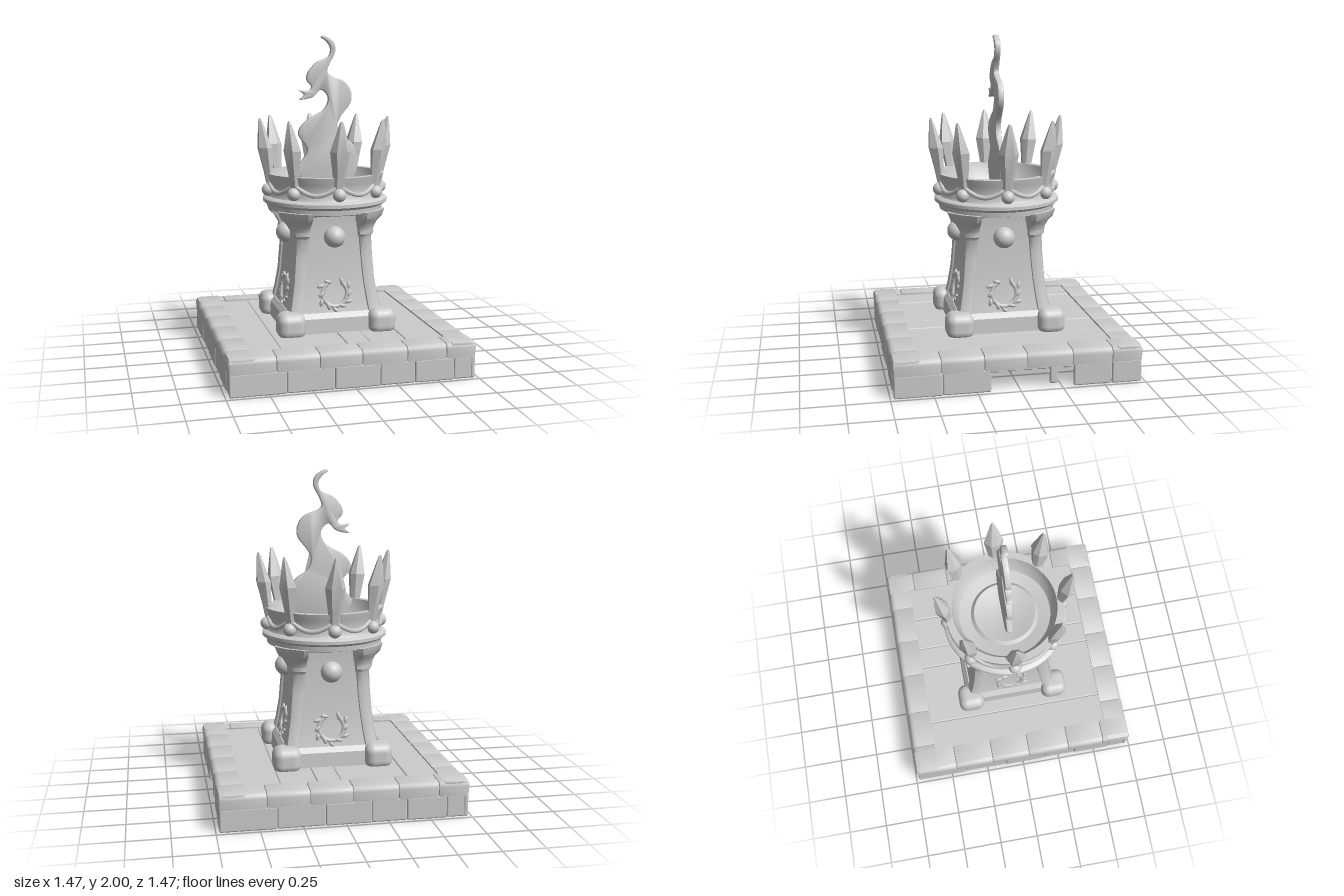
import * as THREE from 'three';
import { toCreasedNormals } from 'three/addons/utils/BufferGeometryUtils.js';
import { RoundedBoxGeometry } from 'three/addons/geometries/RoundedBoxGeometry.js';

const stone = new THREE.MeshStandardMaterial({ color: 0xcccccc });
stone.name = 'stone';

function add(parent, name, geometry, x = 0, y = 0, z = 0) {
  const mesh = new THREE.Mesh(geometry, stone);
  mesh.name = name;
  mesh.position.set(x, y, z);
  parent.add(mesh);
  return mesh;
}

// Closed solid through sections [y, [[x, z], ...]], points turning from +z towards +x
function loft(sections, crease = 0.5) {
  const pos = [];
  const n = sections[0][1].length;
  const at = (s, i) => [s[1][i % n][0], s[0], s[1][i % n][1]];
  const mid = (s) => [
    s[1].reduce((t, p) => t + p[0], 0) / n, s[0], s[1].reduce((t, p) => t + p[1], 0) / n];
  for (let j = 0; j < sections.length - 1; j++) {
    for (let i = 0; i < n; i++) {
      const a = at(sections[j], i), b = at(sections[j], i + 1);
      const c = at(sections[j + 1], i + 1), d = at(sections[j + 1], i);
      pos.push(...a, ...b, ...c, ...a, ...c, ...d);
    }
  }
  const low = sections[0], top = sections[sections.length - 1];
  for (let i = 0; i < n; i++) {
    pos.push(...mid(low), ...at(low, i + 1), ...at(low, i));
    pos.push(...mid(top), ...at(top, i), ...at(top, i + 1));
  }
  const g = new THREE.BufferGeometry();
  g.setAttribute('position', new THREE.Float32BufferAttribute(pos, 3));
  return toCreasedNormals(g, crease);
}

// Square with cut corners: w is the half width, a the half width of each flat
const octagon = (w, a) => [[-a, w], [a, w], [w, a], [w, -a], [a, -w], [-a, -w], [-w, -a], [-w, a]];

// Upper brick: top slab and outer face in one angled profile, running along x
function kerbBrick(x0, x1) {
  const b = 0.008;
  const s = new THREE.Shape();
  s.moveTo(0.585, 0.198);
  s.lineTo(0.69, 0.198);
  s.lineTo(0.705, 0.18);
  s.lineTo(0.705, 0.13);
  s.lineTo(0.73, 0.13);
  s.lineTo(0.735, 0.19);
  s.quadraticCurveTo(0.732, 0.22, 0.7, 0.222);
  s.lineTo(0.585, 0.222);
  const g = new THREE.ExtrudeGeometry(s, {
    depth: x1 - x0 - 2 * b, bevelEnabled: true, bevelSize: b, bevelOffset: -b,
    bevelThickness: b, bevelSegments: 2, curveSegments: 5 });
  g.rotateY(-Math.PI / 2).translate(x1 - b, 0, 0);
  return toCreasedNormals(g, 0.6);
}

function createBase() {
  const base = new THREE.Group();
  base.name = 'base';
  const upper = [-0.73, -0.46, -0.21, 0.04, 0.31, 0.55, 0.73];
  const lower = [-0.73, -0.4, -0.12, 0.15, 0.36, 0.6, 0.73];
  const broken = [-0.73, -0.45, -0.17, 0.32, 0.55, 0.73];
  for (let k = 0; k < 4; k++) {
    const side = new THREE.Group();
    side.name = 'baseSide';
    side.rotation.y = k * Math.PI / 2;
    base.add(side);
    for (let i = 0; i < upper.length - 1; i++) add(side, 'kerbBrick', kerbBrick(upper[i], upper[i + 1]));
    const row = k === 1 ? broken : lower;
    for (let i = 0; i < row.length - 1; i++) {
      // gap left by a fallen brick
      if (k === 1 && row[i] === -0.17) continue;
      add(side, 'lowerBrick', new RoundedBoxGeometry(row[i + 1] - row[i], 0.136, 0.026, 2, 0.01),
        (row[i] + row[i + 1]) / 2, 0.068, 0.717 - 0.004 * (i % 2));
    }
    // remains of mortar hanging in the gap
    if (k === 1) {
      add(side, 'mortarDrip', new RoundedBoxGeometry(0.05, 0.12, 0.024, 2, 0.012), 0.2, 0.085, 0.715);
      [-0.15, -0.05, 0.05, 0.13, 0.28].forEach((x) =>
        add(side, 'mortarEdge', new RoundedBoxGeometry(0.05, 0.03, 0.024, 2, 0.01), x, 0.13, 0.715));
    }
  }
  // Paving planks
  const seams = [-0.6, -0.4, 0, 0.14, 0.36, 0.6];
  for (let i = 0; i < seams.length - 1; i++) {
    add(base, 'pavingSlab', new RoundedBoxGeometry(seams[i + 1] - seams[i], 0.024, 1.19, 2, 0.008),
      (seams[i] + seams[i + 1]) / 2, 0.2 - 0.002 * (i % 2), 0);
  }
  return base;
}

// Low wreath of leaves on a ring
function createWreath() {
  const wreath = new THREE.Group();
  wreath.name = 'wreath';
  add(wreath, 'wreathRing', new THREE.TorusGeometry(0.078, 0.014, 6, 24, 5.2)).rotation.z = 2.1;
  for (let i = 0; i < 11; i++) {
    const t = 2.1 + i * 0.52;
    const r = i % 2 ? 0.1 : 0.086;
    const leaf = add(wreath, 'wreathLeaf', new THREE.SphereGeometry(0.02, 8, 6),
      Math.cos(t) * r, Math.sin(t) * r, 0.004);
    leaf.scale.set(1.3, 0.6, 0.7);
    leaf.rotation.z = t + 0.8;
  }
  return wreath;
}

function createTower() {
  const tower = new THREE.Group();
  tower.name = 'tower';
  add(tower, 'plinth', loft([[0.2, octagon(0.315, 0.26)], [0.3, octagon(0.31, 0.25)], [0.33, octagon(0.285, 0.22)]]));
  // y, face distance, half panel width, how far the pillars stand out
  const levels = [[0.3, 0.285, 0.215, 0.018], [0.4, 0.262, 0.2, 0.018], [0.52, 0.246, 0.183, 0.016],
    [0.66, 0.236, 0.17, 0.016], [0.78, 0.232, 0.16, 0.016], [0.8, 0.232, 0.157, 0.032],
    [0.825, 0.232, 0.155, 0.03], [0.87, 0.232, 0.153, 0.055], [0.9, 0.234, 0.152, 0.085], [0.945, 0.236, 0.15, 0.1]];
  add(tower, 'shaft', loft(levels.map(([y, w, a]) => [y, octagon(w, a)])));
  const pillar = loft(levels.map(([y, w, a, o]) => {
    const r = w + o, c = a + 0.03;
    return [y, [[a, r - 0.006], [c, r], [(r + c) / 2 + 0.012, (r + c) / 2 + 0.012], [r, c], [r - 0.006, a], [a - 0.04, a - 0.04]]];
  }), 0.7);
  for (let k = 0; k < 4; k++) {
    const side = new THREE.Group();
    side.name = 'towerSide';
    side.rotation.y = k * Math.PI / 2;
    tower.add(side);
    add(side, 'pillar', pillar);
    add(side, 'pillarFoot', new RoundedBoxGeometry(0.17, 0.16, 0.17, 4, 0.055), 0.283, 0.267, 0.283);
    add(side, 'wallBall', new THREE.SphereGeometry(0.065, 24, 16), 0, 0.79, 0.247);
    add(side, 'lintel', new RoundedBoxGeometry(0.32, 0.03, 0.06, 2, 0.01), 0, 0.93, 0.225);
    const wreath = createWreath();
    wreath.position.set(0, 0.44, 0.256);
    wreath.rotation.x = -0.15;
    side.add(wreath);
  }
  return tower;
}

function createCrown() {
  const crown = new THREE.Group();
  crown.name = 'crown';
  const profile = [[0, 0.925], [0.33, 0.93], [0.357, 0.937], [0.36, 0.968], [0.375, 0.975], [0.387, 0.985],
    [0.387, 1.005], [0.375, 1.015], [0.358, 1.02], [0.35, 1.035], [0.348, 1.09], [0.357, 1.12], [0.368, 1.162],
    [0.325, 1.162], [0.31, 1.1], [0.285, 1.06], [0.21, 1.045], [0.19, 1.065], [0.17, 1.06], [0.1, 1.04], [0, 1.035]];
  add(crown, 'crownBand', toCreasedNormals(
    new THREE.LatheGeometry(profile.map(([r, y]) => new THREE.Vector2(r, y)), 48), 0.6));
  // Faceted spike: y, distance from the axis, half width, half depth
  const spike = loft([[1.1, 0.345, 0.036, 0.024], [1.17, 0.357, 0.04, 0.026], [1.32, 0.378, 0.062, 0.042],
    [1.48, 0.405, 0.016, 0.012], [1.5, 0.408, 0.007, 0.005]].map(([y, r, w, d]) =>
    [y, [[-w * 0.5, r + d], [w * 0.5, r + d], [w, r - d * 0.1], [w * 0.35, r - d], [-w * 0.35, r - d], [-w, r - d * 0.1]]]), 0.3);
  // Draped garland between two gems
  const path = [];
  for (let i = 0; i <= 6; i++) {
    const t = (i / 6) * Math.PI / 4;
    path.push(new THREE.Vector3(Math.sin(t) * 0.353, 1.115 - 0.06 * Math.sin((i / 6) * Math.PI), Math.cos(t) * 0.353));
  }
  const garland = new THREE.TubeGeometry(new THREE.CatmullRomCurve3(path), 16, 0.014, 6);
  for (let k = 0; k < 8; k++) {
    const segment = new THREE.Group();
    segment.name = 'crownSegment';
    segment.rotation.y = k * Math.PI / 4;
    crown.add(segment);
    add(segment, 'spike', spike);
    add(segment, 'gem', new THREE.SphereGeometry(0.04, 18, 12), 0, 1.06, 0.36);
    add(segment, 'garland', garland);
  }
  return crown;
}

// Flat curling flame
function createFlame() {
  const outline = [[-0.1, 1.03], [-0.175, 1.17], [-0.165, 1.21], [-0.11, 1.3], [-0.17, 1.4], [-0.12, 1.48], [-0.015, 1.54],
    [0.02, 1.6], [0.01, 1.645], [-0.03, 1.67], [-0.07, 1.63], [-0.105, 1.617], [-0.16, 1.61], [-0.13, 1.64],
    [-0.16, 1.665], [-0.105, 1.665], [-0.085, 1.69], [-0.115, 1.73], [-0.105, 1.78], [-0.05, 1.84], [0.02, 1.87],
    [0.035, 1.92], [0.01, 1.965], [-0.025, 1.99], [0, 1.998], [0.055, 1.96], [0.065, 1.9], [0.03, 1.83],
    [0.015, 1.78], [0.05, 1.75], [0.125, 1.72], [0.165, 1.66], [0.165, 1.59], [0.105, 1.51], [0.08, 1.45],
    [0.105, 1.385], [0.18, 1.33], [0.205, 1.25], [0.2, 1.15], [0.12, 1.03]];
  const curve = new THREE.SplineCurve(outline.map(([x, y]) => new THREE.Vector2(x, y)));
  const g = new THREE.ExtrudeGeometry(new THREE.Shape(curve.getPoints(150)), {
    depth: 0.02, bevelEnabled: true, bevelSize: 0.006, bevelOffset: -0.006, bevelThickness: 0.008, bevelSegments: 2 });
  g.translate(0, 0, -0.008);
  const flame = new THREE.Group();
  flame.name = 'flame';
  add(flame, 'flameBlade', toCreasedNormals(g, 0.7));
  return flame;
}

export function createModel() {
  const model = new THREE.Group();
  model.name = 'crownedBrazier';
  model.add(createBase(), createTower(), createCrown(), createFlame());
  return model;
}
